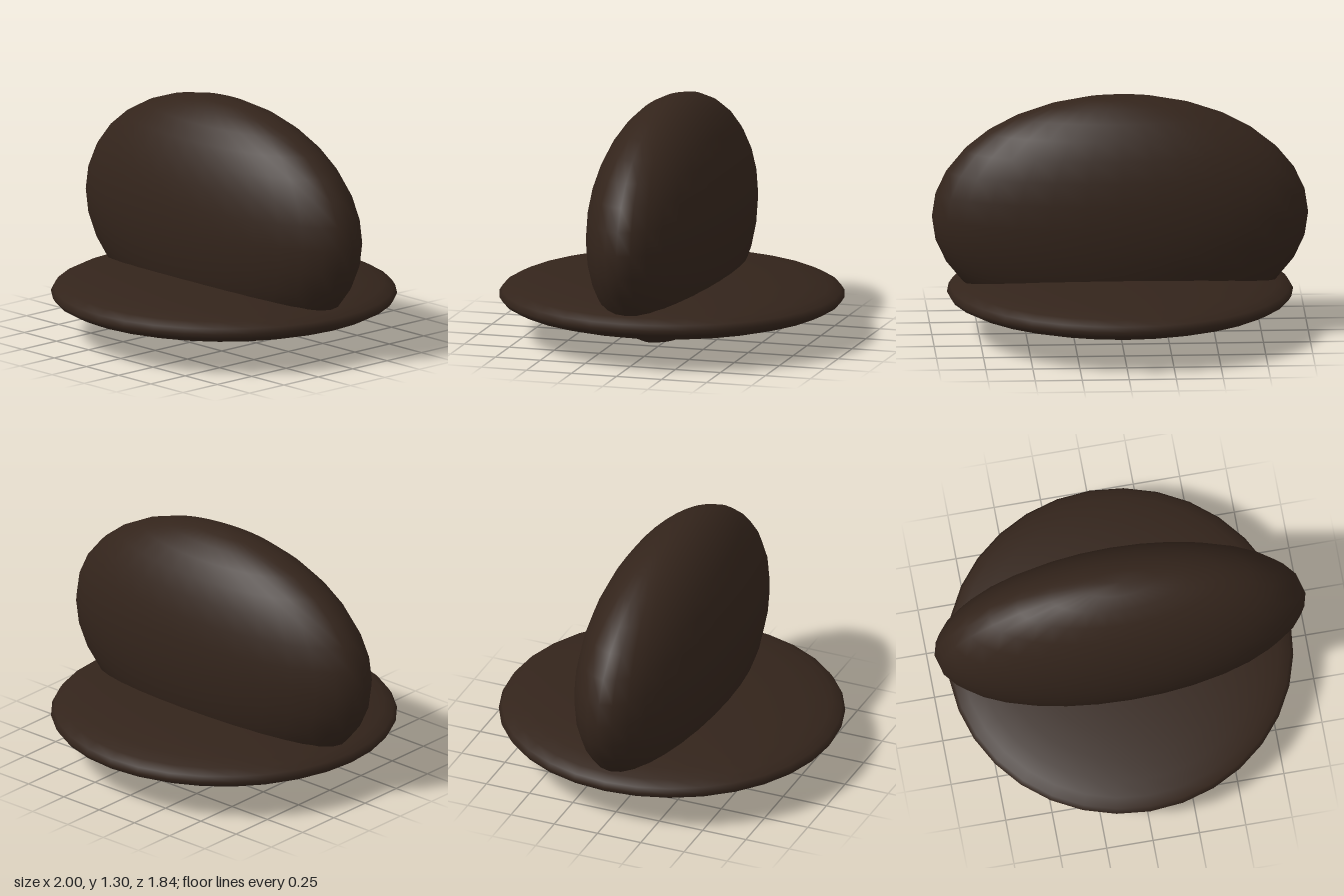
import * as THREE from 'three';

const felt = new THREE.MeshStandardMaterial({ color: 0x33241b });

// Smooth ellipsoid given its radii and centre height
function ellipsoid(name, rx, ry, rz, y) {
  const geometry = new THREE.SphereGeometry(1, 32, 16);
  geometry.scale(rx, ry, rz); // also corrects the normals
  const mesh = new THREE.Mesh(geometry, felt);
  mesh.name = name;
  mesh.position.y = y;
  return mesh;
}

export function createModel() {
  const hat = new THREE.Group();
  hat.name = 'hat';
  // Tall crown, flattened front to back, sunk through the brim
  hat.add(ellipsoid('crown', 1, 0.65, 0.368, 0.65));
  // Wide, thin round brim
  hat.add(ellipsoid('brim', 0.92, 0.14, 0.92, 0.235));
  return hat;
}
